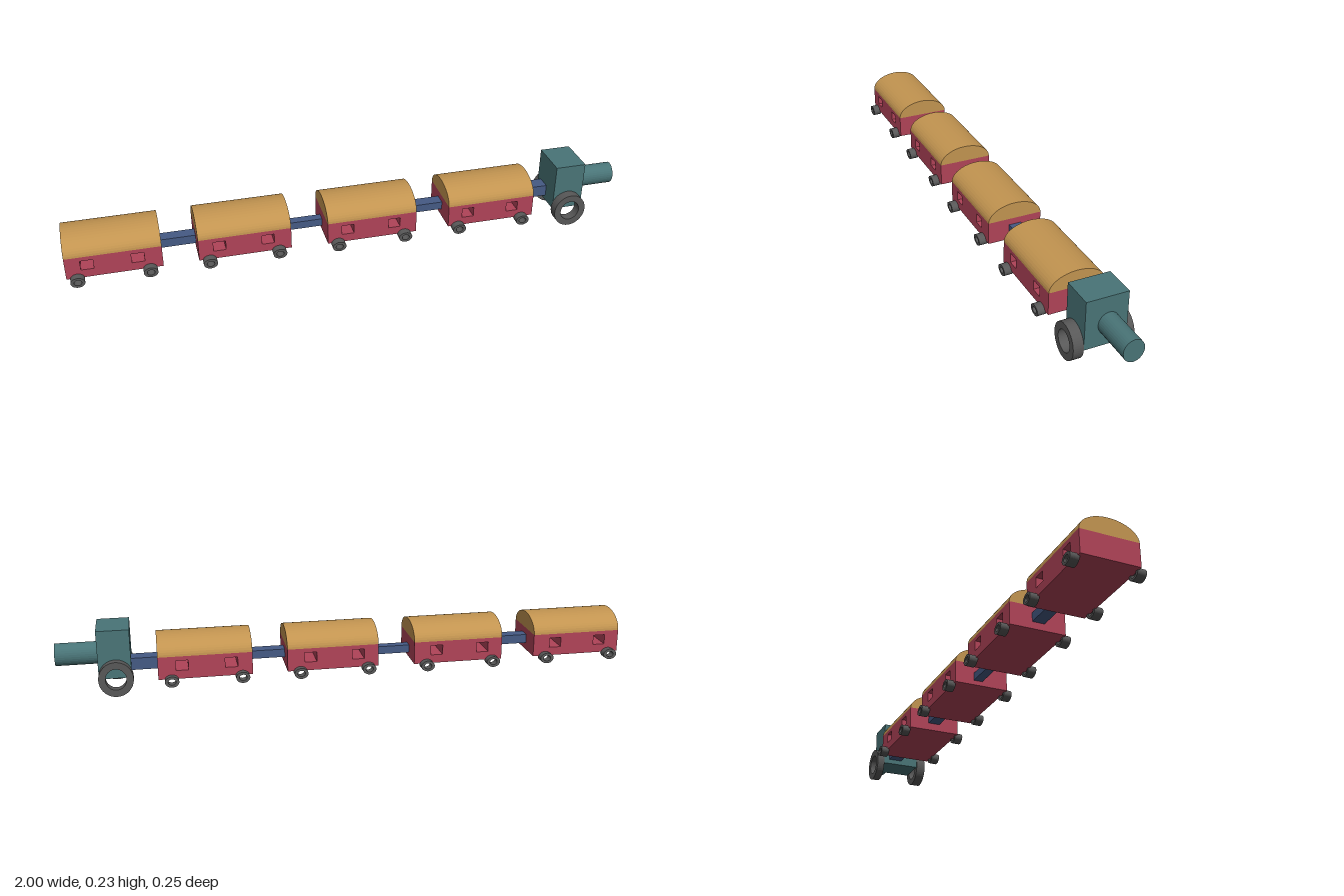
import * as THREE from 'three';

const mat = (color) => new THREE.MeshStandardMaterial({ color, flatShading: true });

export function createModel() {
  const red = mat(0xb04358), tan = mat(0xc29450), teal = mat(0x497477);
  const grey = mat(0x585858), blue = mat(0x455a84);
  const train = new THREE.Group();
  train.name = 'train';

  const add = (parent, name, geometry, material, x, y, z) => {
    const mesh = new THREE.Mesh(geometry, material);
    mesh.name = name;
    mesh.position.set(x, y, z);
    parent.add(mesh);
    return mesh;
  };

  // box given by its extents
  const block = (parent, name, material, x0, x1, y0, y1, z0, z1) =>
    add(parent, name, new THREE.BoxGeometry(x1 - x0, y1 - y0, z1 - z0), material,
      (x0 + x1) / 2, (y0 + y1) / 2, (z0 + z1) / 2);

  // open ring wheel, slightly elliptical, centred on its axle
  const ring = (rx, ry, hole, width) => {
    const shape = new THREE.Shape().absellipse(0, 0, rx, ry, 0, Math.PI * 2);
    shape.holes.push(new THREE.Path().absellipse(0, 0, rx * hole, ry * hole, 0, Math.PI * 2, true));
    return new THREE.ExtrudeGeometry(shape, { depth: width, bevelEnabled: false, curveSegments: 24 })
      .translate(0, 0, -width / 2);
  };

  const length = 0.322, width = 0.195, floor = 0.055, eaves = 0.135;

  // carriage side wall with two window openings that run right through
  const side = new THREE.Shape();
  side.moveTo(-length / 2, floor).lineTo(length / 2, floor);
  side.lineTo(length / 2, eaves).lineTo(-length / 2, eaves).closePath();
  for (const x of [-0.11, 0.058]) {
    const hole = new THREE.Path();
    hole.moveTo(x, 0.085).lineTo(x, 0.12).lineTo(x + 0.043, 0.12).lineTo(x + 0.043, 0.085).closePath();
    side.holes.push(hole);
  }
  const bodyGeo = new THREE.ExtrudeGeometry(side, { depth: width, bevelEnabled: false })
    .translate(0, 0, -width / 2);

  // barrel roof: half ellipse drawn along the carriage
  const arch = new THREE.Shape().absellipse(0, 0, width / 2, 0.059, 0, Math.PI);
  arch.closePath();
  const roofGeo = new THREE.ExtrudeGeometry(arch, { depth: length, bevelEnabled: false, curveSegments: 12 })
    .translate(0, 0, -length / 2).rotateY(Math.PI / 2);
  const smallWheel = ring(0.024, 0.019, 0.55, 0.03);

  // four carriages: [centre x, centre z]
  for (const [x, z] of [[-0.838, -0.005], [-0.395, -0.005], [0.055, 0.004], [0.498, 0.004]]) {
    const carriage = new THREE.Group();
    carriage.name = 'carriage';
    carriage.position.set(x, 0, z);
    add(carriage, 'carriageBody', bodyGeo, red, 0, 0, 0);
    add(carriage, 'carriageRoof', roofGeo, tan, 0, eaves, 0);
    for (const wx of [-0.125, 0.116])
      for (const s of [-1, 1])
        add(carriage, 'carriageWheel', smallWheel, grey, wx, 0.052, s * 0.107).rotation.x = 0.04;
    train.add(carriage);
  }

  // couplings between the vehicles
  block(train, 'coupling', blue, -0.69, -0.54, 0.08, 0.112, -0.024, 0.019);
  block(train, 'coupling', blue, -0.25, -0.09, 0.072, 0.1, -0.024, 0.008);
  block(train, 'coupling', blue, 0.2, 0.35, 0.083, 0.112, -0.019, 0.025);
  block(train, 'coupling', blue, 0.645, 0.76, 0.075, 0.117, -0.032, 0.019);

  // engine: upright cab, boiler and two large wheels
  const engine = new THREE.Group();
  engine.name = 'engine';
  block(engine, 'cab', teal, 0.747, 0.858, 0.057, 0.228, -0.056, 0.087);
  const boilerGeo = new THREE.CylinderGeometry(0.039, 0.039, 0.16, 32)
    .rotateZ(Math.PI / 2).scale(1, 1, 0.91);
  add(engine, 'boiler', boilerGeo, teal, 0.92, 0.133, 0.008);
  add(engine, 'leftWheel', ring(0.059, 0.062, 0.6, 0.035), grey, 0.8, 0.062, 0.1045);
  add(engine, 'rightWheel', ring(0.059, 0.062, 0.6, 0.028), grey, 0.8, 0.062, -0.07);
  train.add(engine);

  return train;
}
